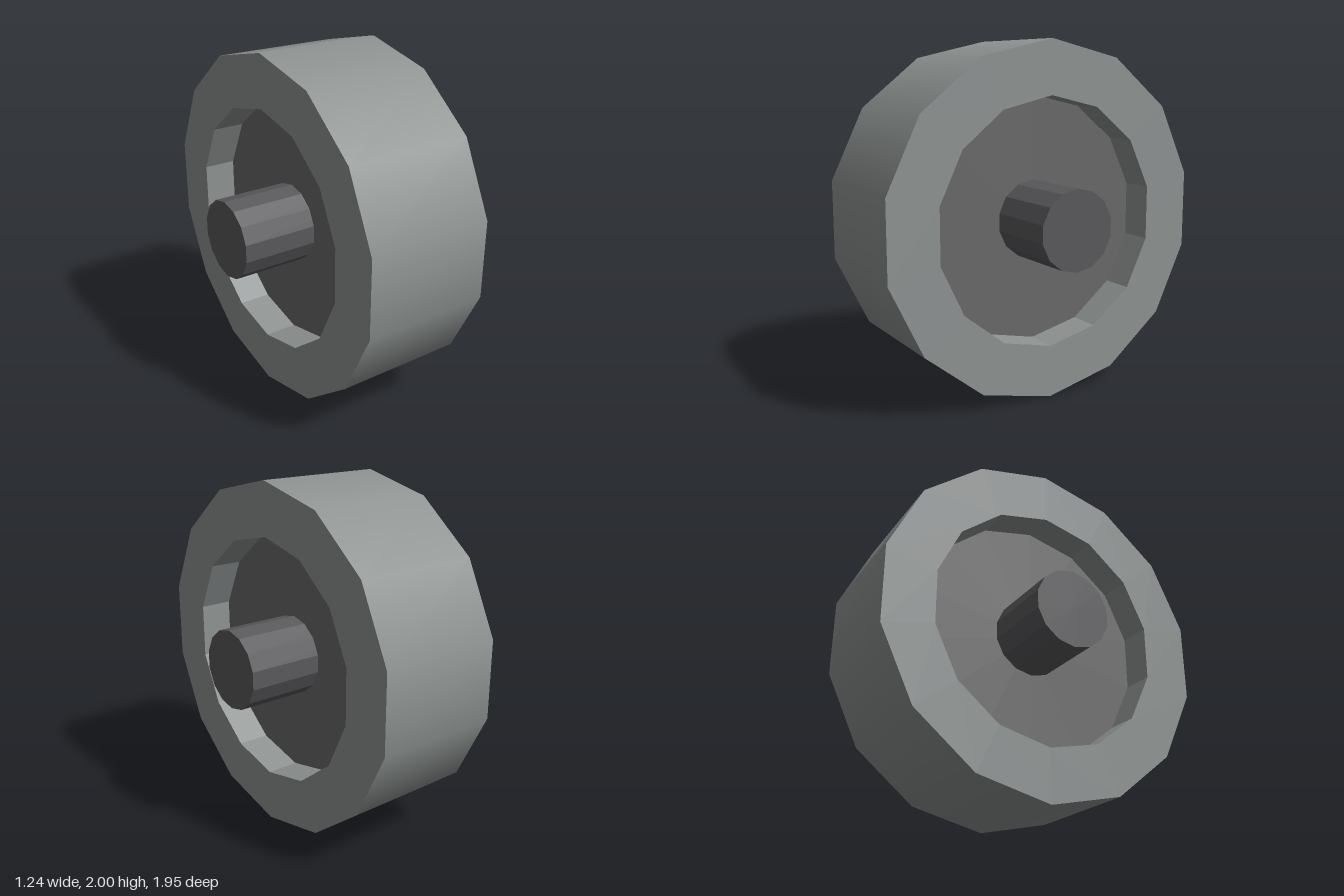
import * as THREE from 'three';

const SIDES = 14;
const TIRE = 0x8f9493, HUB = 0x6a6a6a, AXLE = 0x5a5a5d;

// Spins a [radius, x] profile about the x axis, with a corner pointing straight up
function turned(name, profile, color, flat = true) {
  const points = profile.map(([r, x]) => new THREE.Vector2(r, x));
  let geometry = new THREE.LatheGeometry(points, SIDES, Math.PI / 2);
  if (flat) {
    geometry = geometry.toNonIndexed();
    geometry.computeVertexNormals();
  }
  geometry.rotateZ(Math.PI / 2);
  const material = new THREE.MeshStandardMaterial({ color, flatShading: flat });
  const mesh = new THREE.Mesh(geometry, material);
  mesh.name = name;
  return mesh;
}

// Closed profile of a solid cylinder
const solid = (r, half) => [[0, -half], [r, -half], [r, half], [0, half]];

export function createModel() {
  const wheel = new THREE.Group();
  wheel.name = 'wheel';

  const outer = 1, rim = 0.7, halfWidth = 0.373, hubHalf = 0.185;

  // Tire: smooth tread, flat side walls and faceted recess
  const tire = new THREE.Group();
  tire.name = 'tire';
  tire.add(
    turned('tread', [[outer, -halfWidth], [outer, halfWidth]], TIRE, false),
    turned('sideWalls', [[outer, halfWidth], [rim, halfWidth], [rim, -halfWidth], [outer, -halfWidth]], TIRE)
  );

  // Recessed disc, and the axle running right through it
  wheel.add(tire, turned('hubDisc', solid(rim, hubHalf), HUB), turned('axle', solid(0.225, 0.618), AXLE));

  // Stand the wheel on the ground
  wheel.children.forEach((part) => { part.position.y = outer; });
  return wheel;
}
